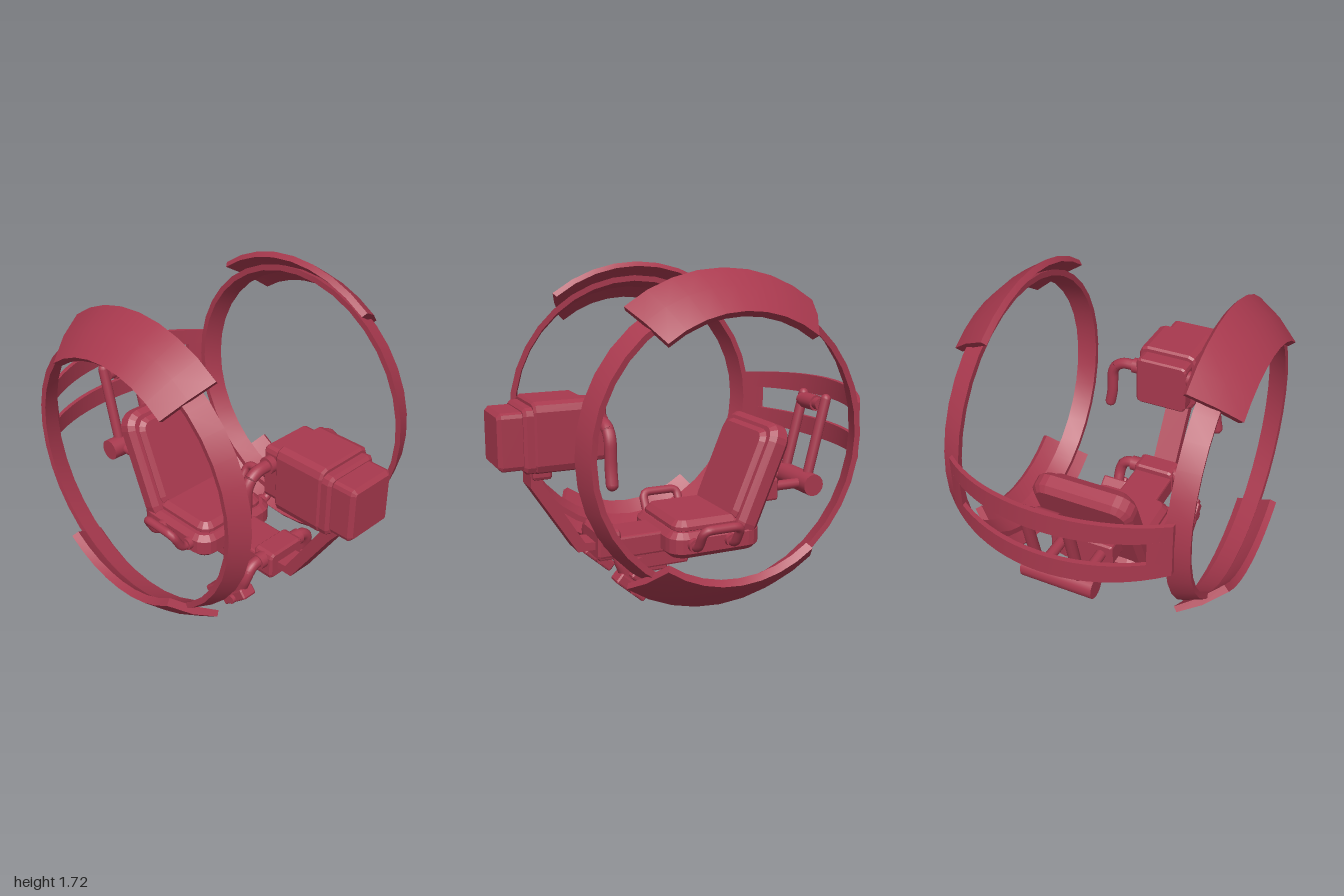
import * as THREE from 'three';
import { mergeGeometries, toCreasedNormals } from 'three/addons/utils/BufferGeometryUtils.js';

export function createModel() {
  const model = new THREE.Group();
  const paint = new THREE.MeshStandardMaterial({ color: 0xa8394e });
  paint.name = 'crimson';
  const V = (x, y, z) => new THREE.Vector3(x, y, z);

  const add = (name, geo, x = 0, y = 0, z = 0, rx = 0) => {
    const m = new THREE.Mesh(geo, paint);
    m.name = name;
    m.position.set(x, y, z);
    m.rotation.x = rx;
    model.add(m);
    return m;
  };
  const shapeOf = pts => new THREE.Shape(pts.map(p => new THREE.Vector2(p[0], p[1])));

  // block with rounded outline (corner c) and chamfered faces (b), centred
  const block = (w, h, d, c, b, segs = 2) => {
    const X = w / 2 - b, Y = h / 2 - b, r = Math.max(c - b, 0.004), pts = [];
    [[1, 1], [-1, 1], [-1, -1], [1, -1]].forEach(([sx, sy], q) => {
      for (let i = 0; i <= segs; i++) {
        const a = (q + i / segs) * Math.PI / 2;
        pts.push([sx * (X - r) + r * Math.cos(a), sy * (Y - r) + r * Math.sin(a)]);
      }
    });
    const g = new THREE.ExtrudeGeometry(shapeOf(pts), {
      depth: d - 2 * b, bevelSize: b, bevelThickness: b, bevelSegments: 1,
    });
    return g.translate(0, 0, b - d / 2);
  };

  // sweep an (x, radius) section around the x axis
  const hoop = (pts, from, angle, steps) => {
    const g = new THREE.ExtrudeGeometry(shapeOf(pts), { depth: angle, steps, bevelEnabled: false });
    const p = g.attributes.position;
    for (let i = 0; i < p.count; i++) {
      const r = p.getY(i), a = from + p.getZ(i);
      p.setXYZ(i, p.getX(i), r * Math.cos(a), r * Math.sin(a));
    }
    return toCreasedNormals(g, 0.5);
  };

  // pipe through points with rounded ends
  const pipe = (pts, r) => {
    const path = new THREE.CurvePath();
    let prev = pts[0];
    for (let i = 1; i < pts.length - 1; i++) {
      const k = 0.045;
      const a = pts[i].clone().add(pts[i - 1].clone().sub(pts[i]).setLength(k));
      const b = pts[i].clone().add(pts[i + 1].clone().sub(pts[i]).setLength(k));
      path.add(new THREE.LineCurve3(prev, a));
      path.add(new THREE.QuadraticBezierCurve3(a, pts[i], b));
      prev = b;
    }
    path.add(new THREE.LineCurve3(prev, pts[pts.length - 1]));
    const ends = [pts[0], pts[pts.length - 1]].map(p =>
      new THREE.SphereGeometry(r, 12, 8).translate(p.x, p.y, p.z));
    return mergeGeometries([new THREE.TubeGeometry(path, 40, r, 12), ...ends]);
  };
  const rodX = (r, len) => new THREE.CylinderGeometry(r, r, len, 16).rotateZ(Math.PI / 2);

  // Side hoops with fenders above and below
  const cy = 0.88, cz = -0.015;
  for (const s of [-1, 1]) {
    const ring = [[0.56, 0.77], [0.67, 0.73], [0.665, 0.70], [0.56, 0.738]];
    add('sideHoop', hoop(ring.map(p => [s * p[0], p[1]]), 0, Math.PI * 2, 36), 0, cy, cz);
    const fender = [[0.77, 0.662], [0.655, 0.77], [0.53, 0.85], [0.508, 0.825], [0.625, 0.742], [0.738, 0.635]];
    const half = 0.64;
    for (const mid of [0, Math.PI])
      add('fender', hoop(fender.map(p => [s * p[0], p[1]]), mid - half, half * 2, 8), 0, cy, cz);
  }

  // Rear guard: two bowed bars joined by end plates
  const bow = (w, h, x, y) => {
    const g = new THREE.BoxGeometry(w, h, 0.026, w > 0.5 ? 20 : 2, 1, 1).translate(x, y, 0);
    const p = g.attributes.position;
    for (let i = 0; i < p.count; i++) {
      const px = p.getX(i), grow = 1 + 0.22 * (1 - (px / 0.6) ** 2);
      p.setXYZ(i, px, p.getY(i) * grow, p.getZ(i) - 0.027 - Math.sqrt(0.96 ** 2 - px * px));
    }
    return toCreasedNormals(g, 0.5);
  };
  for (const s of [-1, 1]) {
    add('rearGuardBar', bow(1.2, 0.09, 0, s * 0.105), 0, cy);
    add('rearGuardEnd', bow(0.1, 0.13, s * 0.55, 0), 0, cy);
  }

  // Seat
  const flat = g => g.rotateX(-Math.PI / 2);
  add('seatBase', flat(block(0.57, 0.55, 0.14, 0.1, 0.03, 4)), 0, 0.265, -0.145);
  add('seatCushion', flat(block(0.47, 0.42, 0.08, 0.07, 0.03, 3)), 0, 0.348, -0.12);
  add('seatBack', block(0.57, 0.66, 0.125, 0.1, 0.03, 4), 0, 0.553, -0.422, -0.4);
  add('backCushion', block(0.47, 0.54, 0.07, 0.07, 0.025, 3), 0, 0.585, -0.373, -0.4);

  // Seat side handles
  for (const s of [-1, 1]) {
    const x = [0.27, 0.335, 0.405], y = [0.275, 0.262, 0.385], pts = [];
    for (const i of [0, 1, 2]) pts.push(V(s * x[i], y[i], -0.21));
    for (const i of [2, 1, 0]) pts.push(V(s * x[i], y[i], 0.01));
    add('seatHandle', pipe(pts, 0.025));
    for (const z of [-0.21, 0.01]) add('handleBoss', rodX(0.036, 0.05), s * 0.285, 0.275, z);
  }

  // Rear linkage from seat to guard
  add('linkBlock', block(0.36, 0.13, 0.14, 0.015, 0.01), 0, 0.485, -0.5);
  add('linkRoller', rodX(0.063, 0.4), 0, 0.485, -0.79);
  add('linkPin', rodX(0.035, 0.2), 0, 0.93, -0.885);
  add('linkCollar', rodX(0.046, 0.12), 0, 0.93, -0.885);
  for (const s of [-1, 1]) {
    add('linkRod', pipe([V(s * 0.115, 0.485, -0.5), V(s * 0.115, 0.485, -0.79)], 0.029));
    add('guardStrut', pipe([V(s * 0.115, 0.5, -0.795), V(s * 0.115, 0.96, -0.91)], 0.03));
  }

  // Control head
  add('headFront', block(0.29, 0.295, 0.16, 0.03, 0.02), 0, 0.885, 0.92);
  add('headCollar', block(0.335, 0.335, 0.07, 0.04, 0.015), 0, 0.885, 0.84);
  add('headBody', block(0.355, 0.365, 0.29, 0.05, 0.012), 0, 0.897, 0.68);
  add('headRear', block(0.31, 0.295, 0.14, 0.03, 0.01), 0, 0.9, 0.51);
  add('headBracket', block(0.22, 0.06, 0.1, 0.02, 0.01), 0, 0.7, 0.77);

  // Handlebars
  for (const s of [-1, 1]) {
    add('handlebar', pipe([V(s * 0.13, 0.965, 0.49), V(s * 0.27, 0.965, 0.49), V(s * 0.328, 0.91, 0.49),
      V(s * 0.33, 0.75, 0.49), V(s * 0.345, 0.675, 0.49)], 0.032));
    add('handlebarSocket', rodX(0.045, 0.05), s * 0.165, 0.965, 0.49);
  }

  // Steering column, cut from its side outline and turned to face forward
  const column = new THREE.ExtrudeGeometry(shapeOf([[-0.823, 0.72], [-0.823, 0.625], [-0.58, 0.25], [-0.45, 0.25],
    [-0.45, 0.29], [-0.54, 0.295], [-0.76, 0.645], [-0.76, 0.72]]), { depth: 0.145, bevelEnabled: false });
  add('steeringColumn', column.translate(0, 0, -0.0725).rotateY(Math.PI / 2));

  // Floor spine and underside mount
  add('floorSpine', block(0.24, 0.12, 0.44, 0.015, 0.01), 0, 0.255, 0.26);
  add('spineNose', block(0.25, 0.16, 0.13, 0.03, 0.012), 0, 0.275, 0.42);
  add('undersideMount', block(0.16, 0.1, 0.36, 0.01, 0.01), 0, 0.15, 0.12);
  add('mountFin', block(0.075, 0.1, 0.2, 0.01, 0.01), 0, 0.11, 0.15);
  add('mountBolt', rodX(0.035, 0.2), 0, 0.14, 0.24);

  // Foot pegs
  for (const s of [-1, 1]) {
    add('pegSocket', rodX(0.045, 0.06), s * 0.135, 0.305, 0.42);
    add('pegArm', pipe([V(s * 0.11, 0.31, 0.42), V(s * 0.21, 0.31, 0.42),
      V(s * 0.245, 0.25, 0.42), V(s * 0.245, 0.1, 0.36)], 0.033));
    add('footPlate', block(0.155, 0.075, 0.21, 0.012, 0.008), s * 0.243, 0.122, 0.28, -0.72);
    add('footClamp', block(0.09, 0.06, 0.2, 0.012, 0.008), s * 0.243, 0.092, 0.358, -0.72);
    add('clampBolt', rodX(0.025, 0.13), s * 0.243, 0.09, 0.36);
  }
  return model;
}
